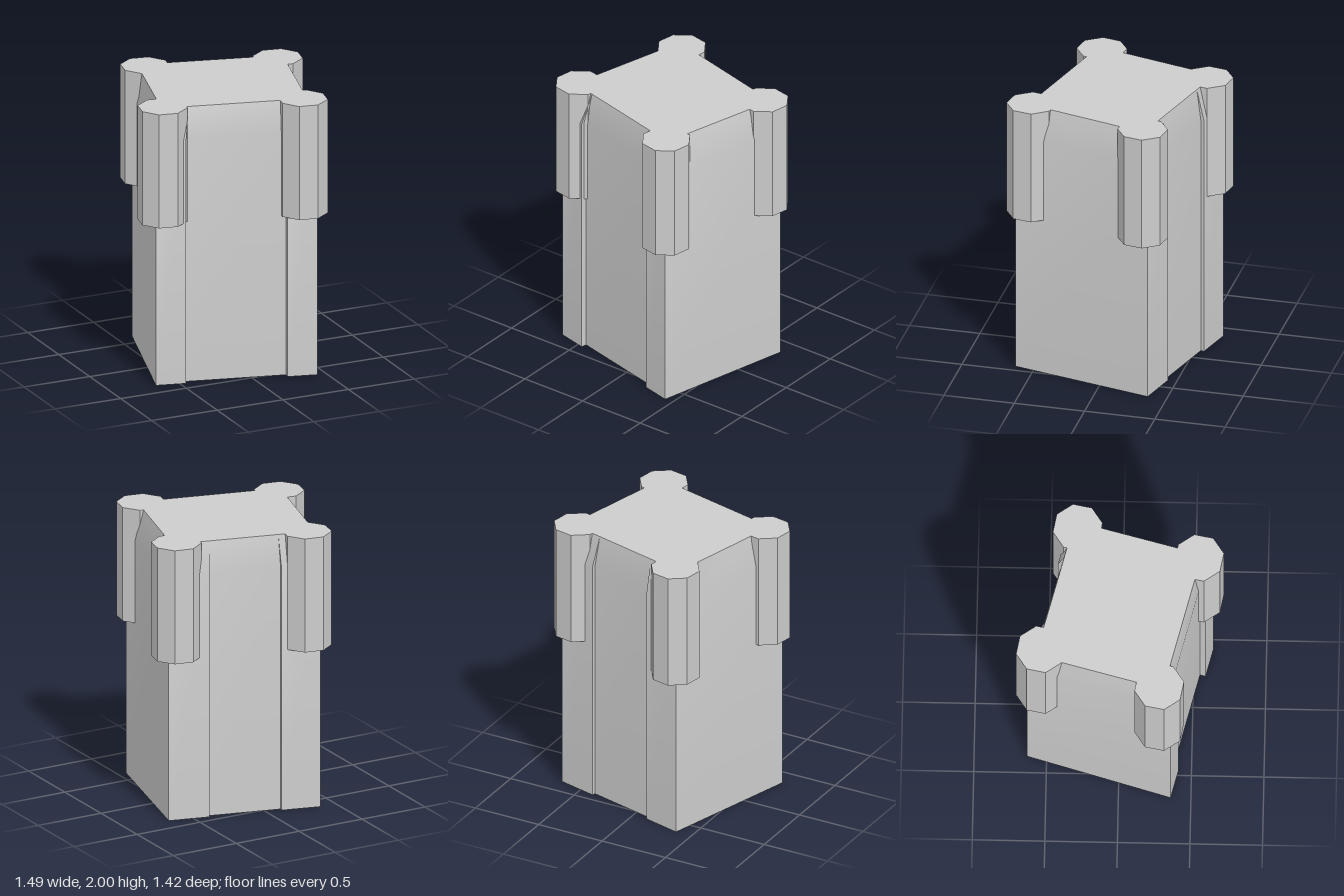
import * as THREE from 'three';
import { toCreasedNormals } from 'three/addons/utils/BufferGeometryUtils.js';

const HEIGHT = 2, SHOULDER = 1.77, TURRET_BASE = 1.17, TURRET_RADIUS = 0.174;

// Plan corners [x, z]: front left, front right, back right, back left as seen in plan
const WALL = [[-0.665, 0.36], [0.437, 0.635], [0.672, -0.365], [-0.38, -0.635]];
const ROOF = [[-0.598, 0.308], [0.396, 0.556], [0.622, -0.325], [-0.369, -0.578]];
// Recessed panels on the front and back walls: start and end along the wall, depth
const PANELS = { 0: [0.186, 0.812, 0.04], 2: [0.268, 0.743, 0.025] };

const mix = (a, b, t) => [a[0] + (b[0] - a[0]) * t, a[1] + (b[1] - a[1]) * t];

// Outline of the wall (with panel steps) and the matching plain roof outline
function outlines() {
  const lower = [], upper = [];
  for (let i = 0; i < 4; i++) {
    const a = WALL[i], b = WALL[(i + 1) % 4];
    const c = ROOF[i], d = ROOF[(i + 1) % 4];
    lower.push(a);
    upper.push(c);
    if (!PANELS[i]) continue;
    const [start, end, depth] = PANELS[i];
    const len = Math.hypot(b[0] - a[0], b[1] - a[1]);
    const inward = [(b[1] - a[1]) / len * depth, -(b[0] - a[0]) / len * depth];
    for (const [t, inset] of [[start, 0], [start, 1], [end, 1], [end, 0]]) {
      const p = mix(a, b, t);
      lower.push([p[0] + inward[0] * inset, p[1] + inward[1] * inset]);
      upper.push(mix(c, d, t));
    }
  }
  return { lower, upper };
}

// Tower body: straight walls, then a tapered shoulder that swallows the panel steps
function bodyGeometry() {
  const { lower, upper } = outlines();
  const n = lower.length;
  const rings = [[lower, 0], [lower, SHOULDER], [upper, HEIGHT]].map(
    ([ring, y]) => ring.map(([x, z]) => new THREE.Vector3(x, y, z)));
  const positions = [];
  const triangle = (a, b, c) => {
    if (a.distanceTo(b) < 1e-5 || b.distanceTo(c) < 1e-5 || c.distanceTo(a) < 1e-5) return;
    for (const p of [a, b, c]) positions.push(p.x, p.y, p.z);
  };
  for (let r = 0; r < 2; r++) {
    for (let i = 0; i < n; i++) {
      const j = (i + 1) % n;
      triangle(rings[r][i], rings[r][j], rings[r + 1][j]);
      triangle(rings[r][i], rings[r + 1][j], rings[r + 1][i]);
    }
  }
  // Underside and roof
  const floor = rings[0].map(p => new THREE.Vector2(p.x, -p.z));
  for (const [a, b, c] of THREE.ShapeUtils.triangulateShape(floor, [])) {
    triangle(rings[0][c], rings[0][b], rings[0][a]);
  }
  const roof = ROOF.map(([x, z]) => new THREE.Vector3(x, HEIGHT, z));
  triangle(roof[0], roof[1], roof[2]);
  triangle(roof[0], roof[2], roof[3]);

  const geometry = new THREE.BufferGeometry();
  geometry.setAttribute('position', new THREE.Float32BufferAttribute(positions, 3));
  return toCreasedNormals(geometry, 0.4);
}

export function createModel() {
  const stone = new THREE.MeshStandardMaterial({ color: 0xcccccc });
  stone.name = 'stone grey';

  const model = new THREE.Group();
  model.name = 'tower';

  const body = new THREE.Mesh(bodyGeometry(), stone);
  body.name = 'towerBody';
  model.add(body);

  // Octagonal corner turrets
  const height = HEIGHT - TURRET_BASE;
  const turretGeometry = toCreasedNormals(new THREE.CylinderGeometry(
    TURRET_RADIUS, TURRET_RADIUS, height, 8, 1, false, THREE.MathUtils.degToRad(12)), 0.1);
  const turrets = {
    frontRightTurret: [-0.577, 0.28],
    frontLeftTurret: [0.37, 0.536],
    backLeftTurret: [0.576, -0.305],
    backRightTurret: [-0.322, -0.541],
  };
  for (const [name, [x, z]] of Object.entries(turrets)) {
    const turret = new THREE.Mesh(turretGeometry, stone);
    turret.name = name;
    turret.position.set(x, TURRET_BASE + height / 2, z);
    model.add(turret);
  }
  return model;
}
